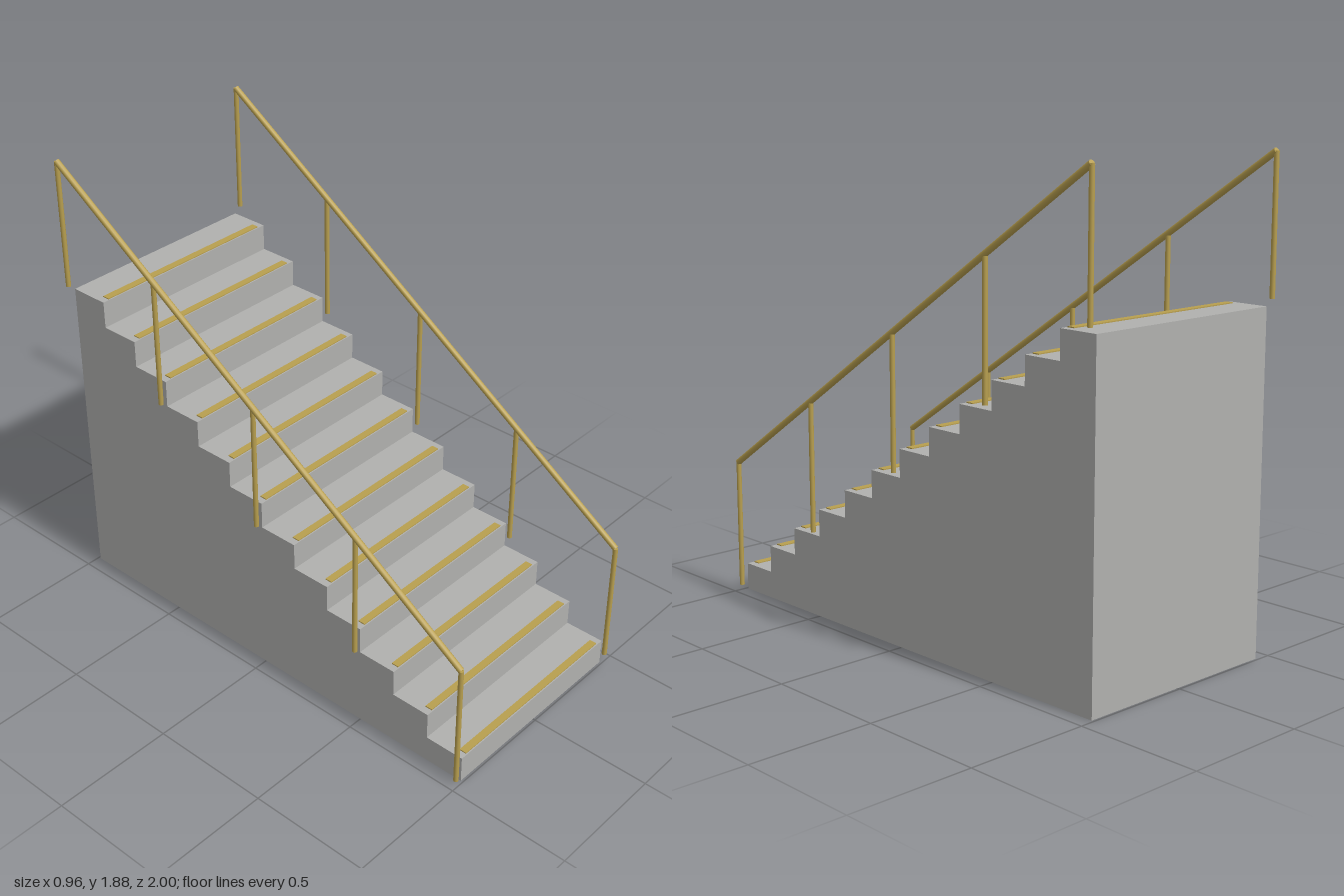
import * as THREE from 'three';

const STEPS = 12, RISE = 0.11, RUN = 0.165, WIDTH = 0.88, FRONT = 0.99;

export function createModel() {
  const concrete = new THREE.MeshStandardMaterial({ color: 0xb0b0ae });
  concrete.name = 'concrete';
  const brass = new THREE.MeshStandardMaterial({ color: 0xb89f4f });
  brass.name = 'brass';

  const model = new THREE.Group();
  model.name = 'staircase';
  const add = (name, geometry, material, parent = model) => {
    const mesh = new THREE.Mesh(geometry, material);
    mesh.name = name;
    parent.add(mesh);
    return mesh;
  };

  // Solid stepped block: side profile (u runs backwards) extruded across the width
  const profile = new THREE.Shape();
  profile.moveTo(0, 0);
  for (let i = 0; i < STEPS; i++) {
    profile.lineTo(i * RUN, (i + 1) * RISE);
    profile.lineTo((i + 1) * RUN, (i + 1) * RISE);
  }
  profile.lineTo(STEPS * RUN, 0);
  const block = new THREE.ExtrudeGeometry(profile, { depth: WIDTH, bevelEnabled: false });
  block.rotateY(Math.PI / 2).translate(-WIDTH / 2, 0, FRONT);
  add('steps', block, concrete);

  // Thin nosing strip near the front edge of each tread
  const strip = new THREE.BoxGeometry(0.82, 0.006, 0.03);
  for (let i = 0; i < STEPS; i++) {
    add('nosingStrip', strip, brass)
      .position.set(0, (i + 1) * RISE + 0.001, FRONT - i * RUN - 0.02);
  }

  // Handrail with five posts on each side
  const postHeight = 0.525, railBase = 0.55, climb = STEPS * RISE;
  const post = new THREE.CylinderGeometry(0.01, 0.01, postHeight, 12);
  const rail = new THREE.CylinderGeometry(0.0125, 0.0125, Math.hypot(climb, 2 * FRONT), 12);
  for (const side of [1, -1]) {
    const railing = new THREE.Group();
    railing.name = side > 0 ? 'leftRailing' : 'rightRailing';
    railing.position.x = side * 0.47;
    model.add(railing);
    for (let i = 0; i < 5; i++) {
      const t = i / 4;
      add('post', post, brass, railing)
        .position.set(0, railBase + t * climb - postHeight / 2, FRONT * (1 - 2 * t));
    }
    const handrail = add('handrail', rail, brass, railing);
    handrail.position.y = railBase + climb / 2;
    handrail.rotation.x = -Math.atan2(2 * FRONT, climb);
  }
  return model;
}
